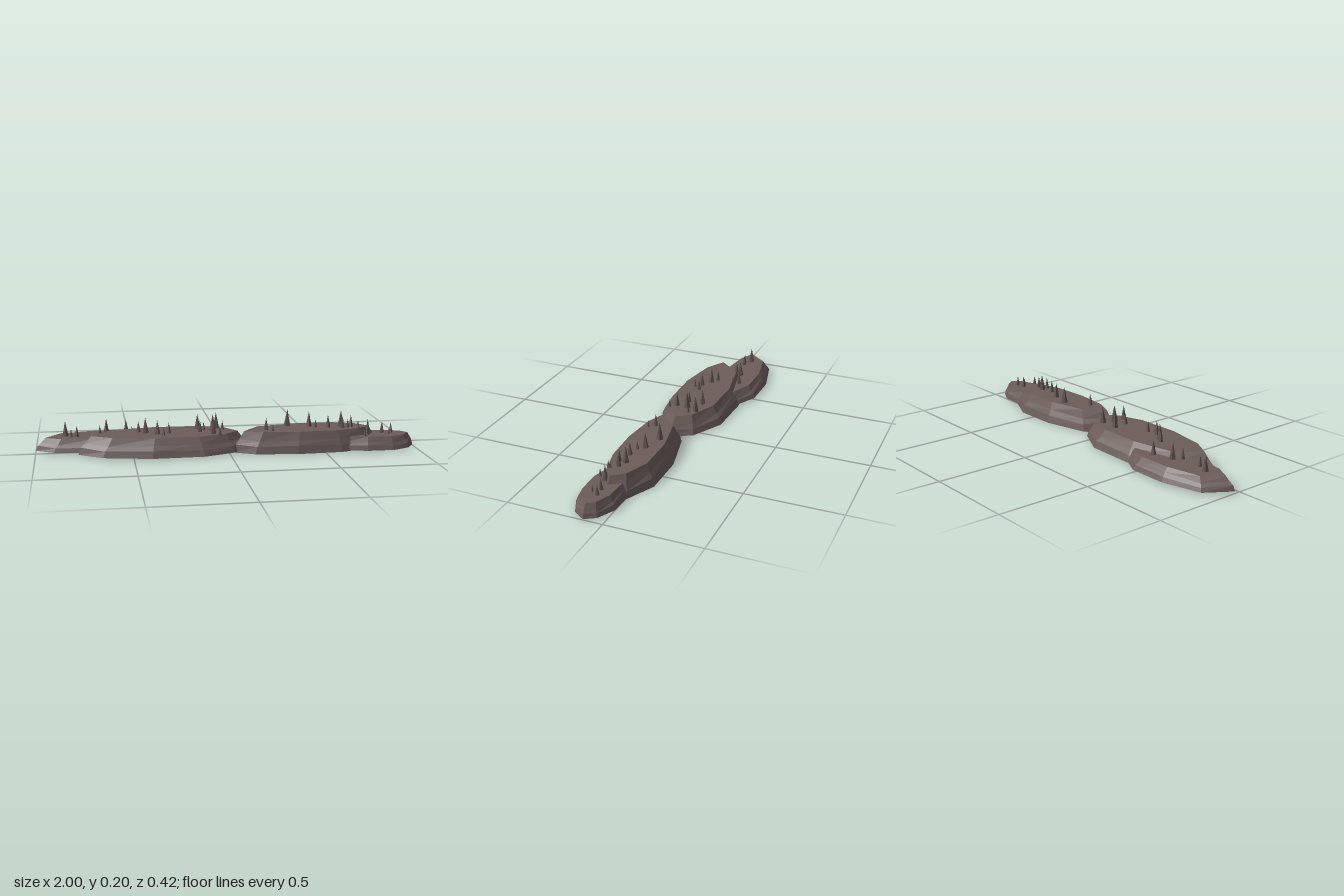
import * as THREE from 'three';

const rock = new THREE.MeshStandardMaterial({ color: 0x6b5d59, flatShading: true, side: THREE.DoubleSide });
rock.name = 'brown rock';
const spikeRock = new THREE.MeshStandardMaterial({ color: 0x60534f, flatShading: true });
spikeRock.name = 'dark rock';

// Rim widths along a mound: [fraction of length, fraction of depth]
const BACK_EDGE = [[0.13, 0.75], [0.44, 1], [0.74, 0.93], [0.93, 0.5]];
const FRONT_EDGE = [[0.91, 0.6], [0.72, 1], [0.42, 1], [0.14, 0.6]];

// Stepped slope: [x scale, z scale, fraction of height]
const STEPS = [[1, 1, 0], [0.97, 0.93, 0.35], [0.925, 0.83, 0.6], [0.86, 0.71, 1]];

// Rim outline, clockwise from above: tip, back edge, tip, front edge
function rimOutline([x0, z0], [x1, z1], back, front) {
  const along = (t, offset) => [x0 + (x1 - x0) * t, z0 + (z1 - z0) * t + offset];
  return [
    along(0, 0), ...BACK_EDGE.map(([t, w]) => along(t, -back * w)),
    along(1, 0), ...FRONT_EDGE.map(([t, w]) => along(t, front * w)),
  ];
}

// Hollow shell lofted through shrinking copies of the rim and closed with a flat top
function moundGeometry(outline, base, top) {
  const n = outline.length;
  const cx = outline.reduce((s, p) => s + p[0], 0) / n;
  const cz = outline.reduce((s, p) => s + p[1], 0) / n;
  const positions = [], index = [];
  for (const [sx, sz, t] of STEPS) {
    outline.forEach(([x, z], i) => {
      // Uneven middle ledges
      const wobble = t > 0 && t < 1 ? 0.004 * Math.sin(i * 2.3 + t * 5) : 0;
      positions.push(cx + (x - cx) * sx, base + (top - base) * t + wobble, cz + (z - cz) * sz);
    });
  }
  const centre = positions.length / 3;
  const last = centre - n;
  positions.push(cx, top, cz);
  for (let i = 0; i < n; i++) {
    const j = (i + 1) % n;
    for (let a = 0; a < last; a += n) {
      const b = a + n;
      index.push(a + j, a + i, b + i, a + j, b + i, b + j);
    }
    index.push(centre, last + j, last + i);
  }
  const geometry = new THREE.BufferGeometry();
  geometry.setAttribute('position', new THREE.Float32BufferAttribute(positions, 3));
  geometry.setIndex(index);
  geometry.computeVertexNormals();
  return geometry;
}

// Five-sided pointed rock, sunk slightly into the mound
function makeSpike(name, x, z, radius, ground) {
  const height = radius * 4.5 + 0.005;
  const spike = new THREE.Mesh(new THREE.ConeGeometry(radius, height, 5), spikeRock);
  spike.position.set(x, ground - 0.005 + height / 2, z);
  spike.rotation.y = x * 40;
  spike.name = name;
  return spike;
}

// Spikes are [x, z, radius]; every second one gets a small companion
function makeMound(name, { from, to, back, front, base, top, spikes }) {
  const group = new THREE.Group();
  group.name = name;
  const shell = new THREE.Mesh(moundGeometry(rimOutline(from, to, back, front), base, top), rock);
  shell.name = 'moundShell';
  group.add(shell);
  spikes.forEach(([x, z, radius], i) => {
    group.add(makeSpike('spike', x, z, radius, top));
    if (i % 2 === 0) group.add(makeSpike('smallSpike', x + 0.03, z + 0.03, radius * 0.55, top));
  });
  return group;
}

export function createModel() {
  const model = new THREE.Group();
  model.name = 'rockyIsland';
  model.add(
    makeMound('backLeftMound', {
      from: [-1, -0.03], to: [-0.32, -0.06], back: 0.17, front: 0.105, base: 0.01, top: 0.075,
      spikes: [[-0.845, -0.07, 0.018], [-0.785, -0.045, 0.013], [-0.665, -0.04, 0.013],
        [-0.63, -0.075, 0.019], [-0.525, -0.105, 0.016]],
    }),
    makeMound('frontLeftMound', {
      from: [-0.78, 0.07], to: [0.11, 0.05], back: 0.218, front: 0.147, base: 0.005, top: 0.1,
      spikes: [[-0.465, 0, 0.013], [-0.43, 0.025, 0.018], [-0.37, 0.06, 0.016],
        [-0.31, 0.055, 0.013], [-0.15, -0.03, 0.018], [-0.145, 0.045, 0.014],
        [-0.08, 0.09, 0.017], [-0.075, 0.03, 0.02], [-0.05, -0.03, 0.019]],
    }),
    makeMound('middleRightMound', {
      from: [0.02, 0.12], to: [0.81, 0.08], back: 0.182, front: 0.1, base: 0, top: 0.11,
      spikes: [[0.2, 0.09, 0.014], [0.33, 0.01, 0.02], [0.44, 0.04, 0.018], [0.535, 0.08, 0.015],
        [0.61, 0.065, 0.019], [0.61, 0.1, 0.014], [0.66, 0.08, 0.014]],
    }),
    makeMound('rightEndMound', {
      from: [0.52, 0.1], to: [1, 0.1], back: 0.11, front: 0.106, base: 0.004, top: 0.072,
      spikes: [[0.69, 0.12, 0.017], [0.745, 0.11, 0.018], [0.83, 0.09, 0.014], [0.88, 0.085, 0.012]],
    }),
  );
  return model;
}
